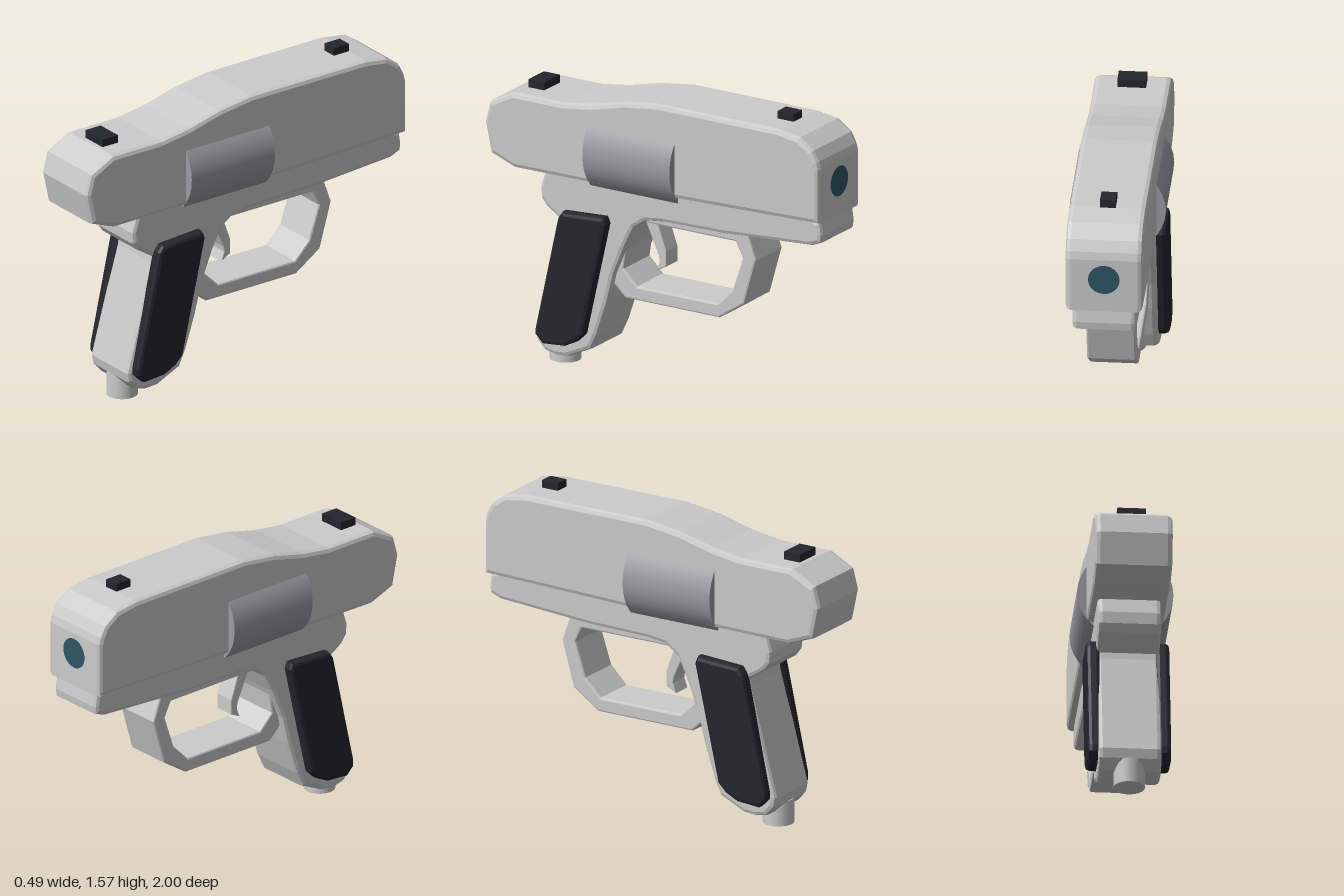
import * as THREE from 'three';

const grey = new THREE.MeshStandardMaterial({ color: 0xcccccc });
const dark = new THREE.MeshStandardMaterial({ color: 0x25252d });
const drumGrey = new THREE.MeshStandardMaterial({ color: 0x9c9ba2 });
const teal = new THREE.MeshStandardMaterial({ color: 0x2f5566 });

const toPoints = (list) => list.map(([z, y]) => new THREE.Vector2(z, y));

// Bevelled plate: outline given as [z, y], spanning x0 to x1
function plate(outline, x0, x1, bevel, hole) {
  const shape = new THREE.Shape(toPoints(outline));
  if (hole) shape.holes.push(new THREE.Path(toPoints(hole)));
  const geo = new THREE.ExtrudeGeometry(shape, {
    depth: x1 - x0 - 2 * bevel,
    bevelEnabled: true,
    bevelThickness: bevel,
    bevelSize: bevel,
    bevelOffset: -bevel,
    bevelSegments: 2,
  });
  geo.rotateY(-Math.PI / 2);
  geo.translate(x1 - bevel, 0, 0);
  return geo;
}

export function createModel() {
  const model = new THREE.Group();
  const add = (name, geo, material, x = 0, y = 0, z = 0) => {
    const mesh = new THREE.Mesh(geo, material);
    mesh.name = name;
    mesh.position.set(x, y, z);
    model.add(mesh);
    return mesh;
  };

  // Upper body
  add('slide', plate([
    [1, 1.25], [0.97, 1.36], [0.835, 1.43], [0.53, 1.43], [0.36, 1.455], [0.17, 1.503],
    [-0.03, 1.53], [-0.75, 1.53], [-0.88, 1.51], [-0.96, 1.455], [-0.99, 1.4], [-1, 1.36],
    [-1, 1.07], [0.3, 1.035], [0.82, 1.03], [0.965, 1.085],
  ], -0.195, 0.195, 0.025), grey);

  // Lower body and handle in one outline
  add('frame', plate([
    [0.65, 1.08], [0.69, 0.95], [0.685, 0.89], [0.655, 0.85], [0.555, 0.785], [0.56, 0.75],
    [0.72, 0.18], [0.71, 0.13], [0.665, 0.08], [0.6, 0.065], [0.53, 0.07], [0.39, 0.135],
    [0.35, 0.22], [0.29, 0.4], [0.25, 0.56], [0.18, 0.73], [0.13, 0.83], [0.06, 0.88],
    [-0.04, 0.893], [-0.4, 0.9], [-0.93, 0.935], [-0.99, 0.96], [-0.995, 1.0], [-0.985, 1.066],
    [-0.93, 1.09],
  ], -0.16, 0.16, 0.022), grey);

  // Trigger and its guard
  add('triggerGuard', plate([
    [0.2, 0.435], [-0.36, 0.435], [-0.51, 0.535], [-0.58, 0.78], [-0.53, 0.92], [0.2, 0.92],
    [0.28, 0.51],
  ], -0.125, 0.125, 0.01, [
    [0.13, 0.51], [0.21, 0.59], [0.18, 0.79], [0.12, 0.86], [-0.46, 0.86], [-0.5, 0.78],
    [-0.44, 0.6], [-0.35, 0.51],
  ]), grey);
  add('trigger', plate([
    [0.14, 0.88], [0.065, 0.88], [0, 0.7], [0, 0.62], [0.058, 0.59], [0.04, 0.64], [0.045, 0.67],
  ], -0.055, 0.055, 0.005), grey);

  // Handle side panels
  const panel = [
    [0.53, 0.855], [0.28, 0.87], [0.265, 0.835], [0.405, 0.22], [0.45, 0.175], [0.52, 0.14],
    [0.645, 0.13], [0.69, 0.175], [0.69, 0.21], [0.555, 0.82],
  ];
  add('leftGripPanel', plate(panel, 0.14, 0.21, 0.02), dark);
  add('rightGripPanel', plate(panel, -0.21, -0.14, 0.02), dark);

  // Drum bulging from both sides
  const drum = new THREE.CylinderGeometry(0.243, 0.243, 0.52, 32);
  drum.rotateX(Math.PI / 2);
  add('drum', drum, drumGrey, 0, 1.195, 0.12);

  // Plug under the handle
  add('handlePlug', new THREE.CylinderGeometry(0.08, 0.08, 0.13, 24), grey, 0, 0.065, 0.637);

  // Sights
  add('rearSight', new THREE.BoxGeometry(0.145, 0.07, 0.095), dark, 0, 1.437, 0.765);
  add('frontSight', new THREE.BoxGeometry(0.08, 0.07, 0.095), dark, 0, 1.535, -0.705);

  // Muzzle disc
  const muzzle = new THREE.CylinderGeometry(0.08, 0.08, 0.01, 24);
  muzzle.rotateX(Math.PI / 2);
  add('muzzle', muzzle, teal, 0, 1.25, -0.997);

  return model;
}
